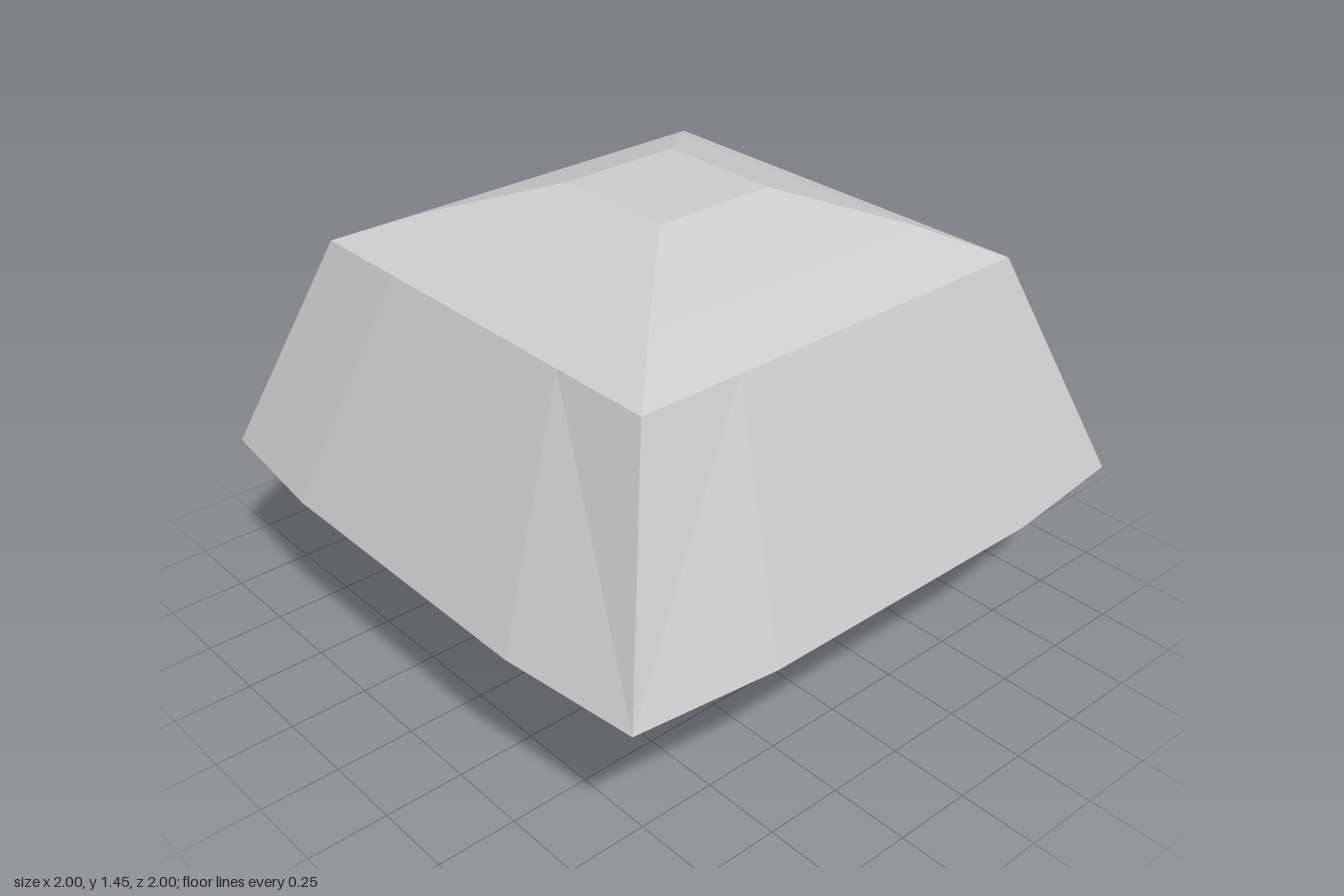
import * as THREE from 'three';

// Each ring: height, corner half-width, half-length of the middle segment, how far that segment sits out
const base = [0, 0.39, 0.205, 0.39];
const belt = [0.555, 0.95, 0.5, 1];
const rim = [1.25, 0.7, 0.37, 0.7];
const crown = [1.345, 0.5, 0.26, 0.5];
const plateau = [1.45, 0.205, 0.11, 0.205];

// Twelve points: corner and two middle points per side, turned four times
function ringPoints([y, corner, mid, out]) {
  const points = [];
  for (let side = 0; side < 4; side++) {
    for (const [x, z] of [[-corner, corner], [-mid, out], [mid, out]]) {
      let p = [x, z];
      for (let t = 0; t < side; t++) p = [p[1], -p[0]];
      points.push(new THREE.Vector3(p[0], y, p[1]));
    }
  }
  return points;
}

function facetMesh(name, triangles) {
  const geometry = new THREE.BufferGeometry().setFromPoints(triangles);
  geometry.computeVertexNormals();
  const material = new THREE.MeshStandardMaterial({ color: 0xcccccc, flatShading: true });
  const mesh = new THREE.Mesh(geometry, material);
  mesh.name = name;
  return mesh;
}

// Facets between two rings, with diagonals mirrored on each side
function band(lower, upper, flip = false) {
  const lo = ringPoints(lower), up = ringPoints(upper), tris = [];
  for (let i = 0; i < 12; i++) {
    const j = (i + 1) % 12;
    const [a, b, c, d] = [lo[i], lo[j], up[j], up[i]];
    if ((i % 3 === 2) !== flip) tris.push(a, b, d, b, c, d);
    else tris.push(a, b, c, a, c, d);
  }
  return tris;
}

// Flat face closing a ring
function cap(ring, facingUp) {
  const pts = ringPoints(ring), centre = new THREE.Vector3(0, ring[0], 0), tris = [];
  pts.forEach((p, i) => {
    const q = pts[(i + 1) % 12];
    tris.push(centre, ...(facingUp ? [p, q] : [q, p]));
  });
  return tris;
}

export function createModel() {
  const group = new THREE.Group();
  group.name = 'facetedBlock';
  group.add(
    facetMesh('taperedUnderside', [...cap(base, false), ...band(base, belt, true)]),
    facetMesh('slopedWalls', band(belt, rim)),
    facetMesh('domedTop', [...band(rim, crown), ...band(crown, plateau), ...cap(plateau, true)]),
  );
  return group;
}
